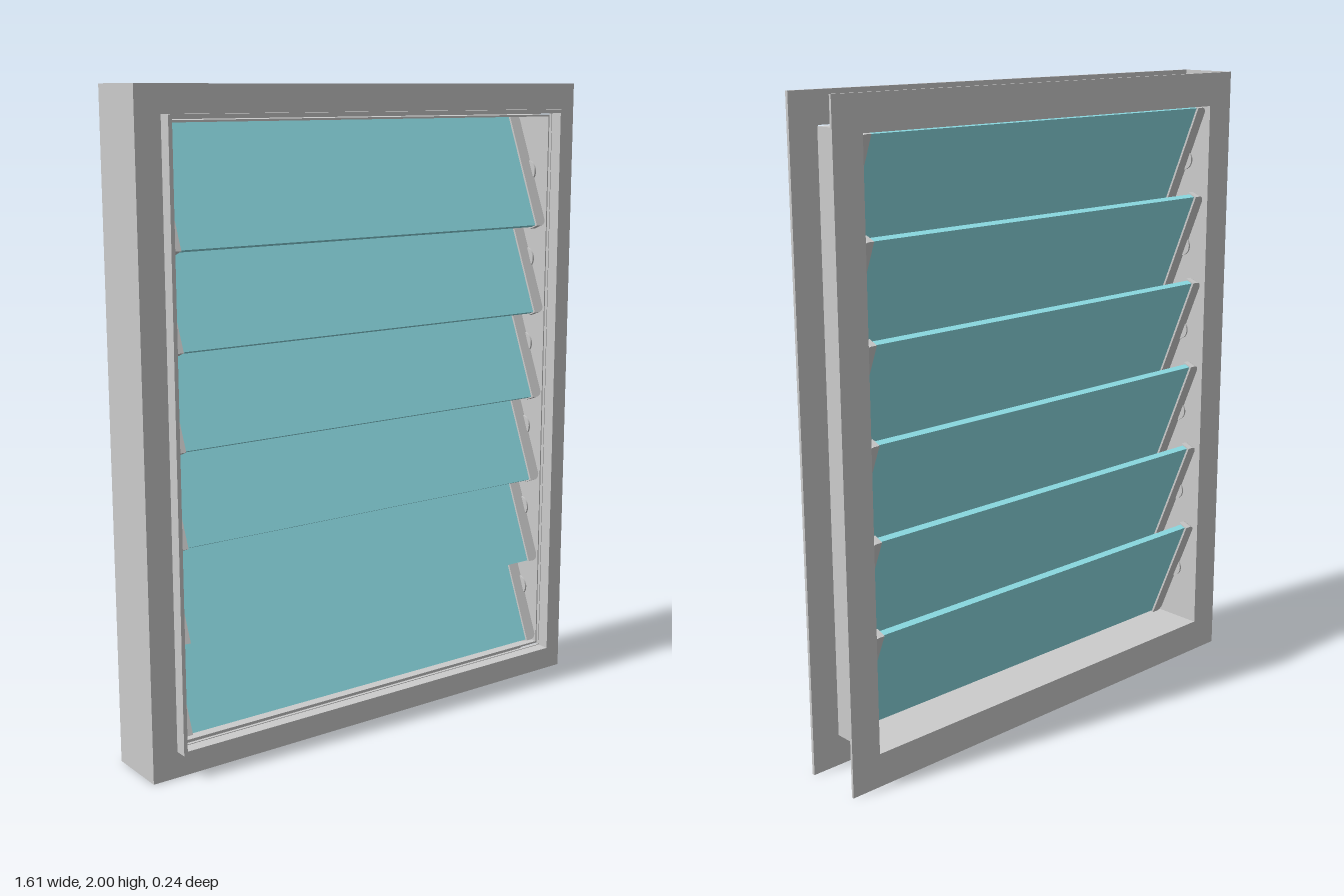
import * as THREE from 'three';

const grey = new THREE.MeshStandardMaterial({ color: 0xcccccc, side: THREE.DoubleSide });
const glass = new THREE.MeshStandardMaterial({ color: 0x8fe0e8 });

function add(parent, name, geometry, material = grey) {
  const mesh = new THREE.Mesh(geometry, material);
  mesh.name = name;
  parent.add(mesh);
  return mesh;
}

// Rectangular ring centred on y = 1, given half sizes and its z range
function ring(outX, outY, inX, inY, z0, z1) {
  const rect = (C, x, y) => new C([
    new THREE.Vector2(-x, 1 - y), new THREE.Vector2(x, 1 - y),
    new THREE.Vector2(x, 1 + y), new THREE.Vector2(-x, 1 + y),
  ]);
  const shape = rect(THREE.Shape, outX, outY);
  shape.holes.push(rect(THREE.Path, inX, inY));
  return new THREE.ExtrudeGeometry(shape, { depth: z1 - z0, bevelEnabled: false }).translate(0, 0, z0);
}

// End clip outline: square inner edge, rounded outer corners
function clipGeometry(length, thickness) {
  const x0 = 0.665, x1 = 0.705, h = length / 2, r = 0.022;
  const s = new THREE.Shape();
  s.moveTo(x0, -h);
  s.lineTo(x1 - r, -h);
  s.absarc(x1 - r, -h + r, r, -Math.PI / 2, 0, false);
  s.lineTo(x1, h - r);
  s.absarc(x1 - r, h - r, r, 0, Math.PI / 2, false);
  s.lineTo(x0, h);
  s.closePath();
  return new THREE.ExtrudeGeometry(s, { depth: thickness, bevelEnabled: false, curveSegments: 6 })
    .translate(0, 0, -thickness / 2);
}

export function createModel() {
  const model = new THREE.Group();
  model.name = 'louvreWindow';

  // Fixed frame: two flanges joined by a recessed web, with a raised front lip
  const frame = new THREE.Group();
  frame.name = 'frame';
  model.add(frame);
  add(frame, 'frontFlange', ring(0.805, 1, 0.71, 0.905, 0.07, 0.08));
  add(frame, 'backFlange', ring(0.805, 1, 0.705, 0.895, -0.12, -0.112));
  add(frame, 'web', ring(0.712, 0.902, 0.706, 0.896, -0.112, 0.07));
  add(frame, 'frontLip', ring(0.724, 0.919, 0.712, 0.907, 0.08, 0.12));

  // Thin closing plate along one side of the frame
  const plate = add(frame, 'sidePlate', new THREE.PlaneGeometry(0.19, 2));
  plate.rotation.y = -Math.PI / 2;
  plate.position.set(-0.805, 1, -0.02);

  // Six tilted glass blades held in end clips on round pivots
  const tilt = 0.385, length = 0.385, pitch = 0.286;
  const bladeGeometry = new THREE.BoxGeometry(1.34, length - 0.008, 0.02);
  const clip = clipGeometry(length, 0.034);
  const pivot = new THREE.CylinderGeometry(0.034, 0.034, 0.012, 24).rotateZ(Math.PI / 2);
  for (let i = 0; i < 6; i++) {
    const louvre = new THREE.Group();
    louvre.name = `louvre${i + 1}`;
    louvre.position.set(0, 0.288 + i * pitch, -0.017);
    louvre.rotation.x = -tilt;
    model.add(louvre);
    add(louvre, 'glassBlade', bladeGeometry, glass);
    for (const side of [1, -1]) {
      const end = new THREE.Group();
      end.name = side > 0 ? 'leftEnd' : 'rightEnd';
      end.rotation.y = side > 0 ? 0 : Math.PI;
      louvre.add(end);
      add(end, 'endClip', clip);
      add(end, 'pivot', pivot).position.x = 0.706;
    }
  }
  return model;
}
